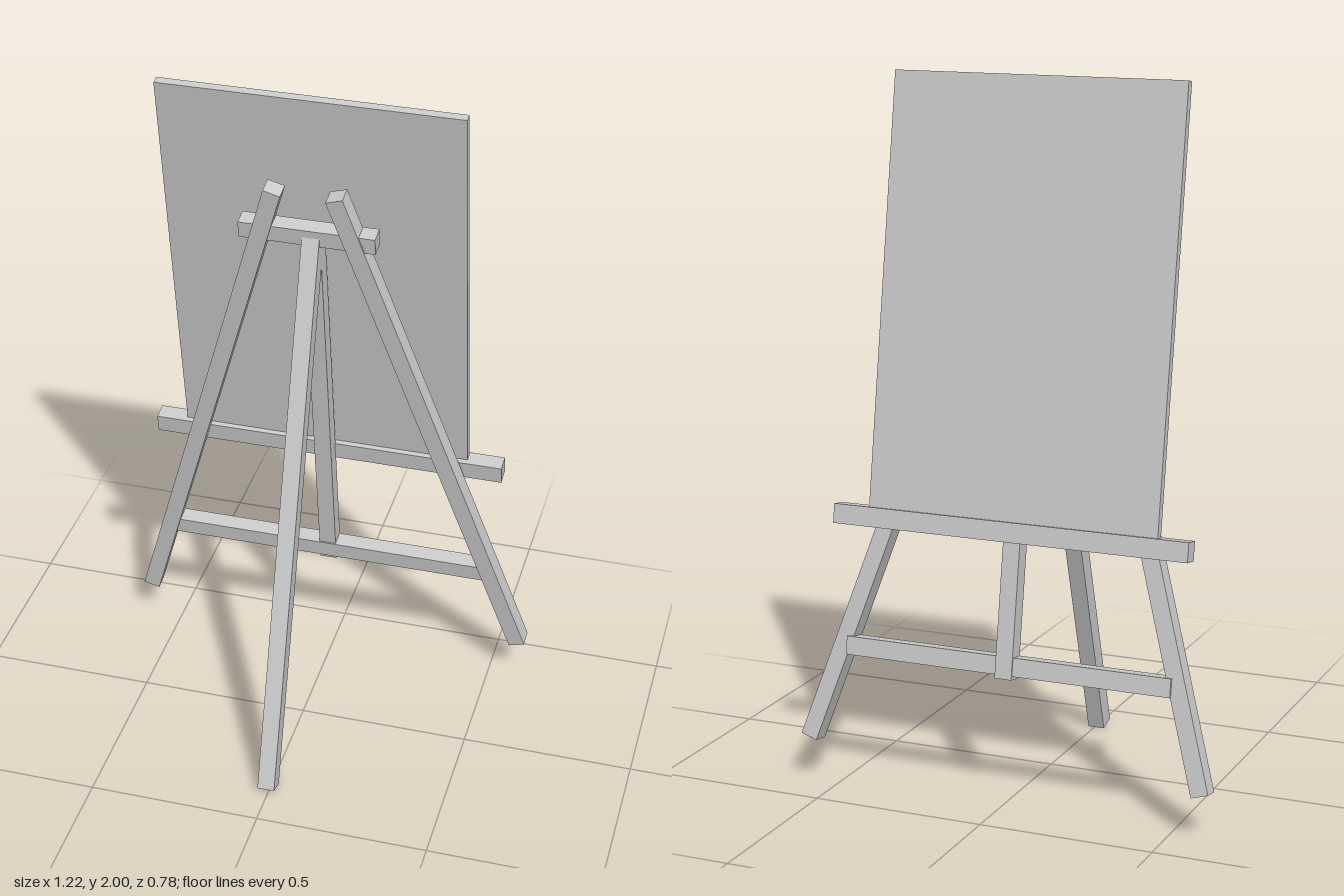
import * as THREE from 'three';

const material = new THREE.MeshStandardMaterial({ color: 0xcccccc, flatShading: true });

// Upright or level board: size and centre
function board(name, size, centre) {
  const mesh = new THREE.Mesh(new THREE.BoxGeometry(...size), material);
  mesh.position.set(...centre);
  mesh.name = name;
  return mesh;
}

// Square-cut batten running between two points of the local xy plane
function batten(name, [x0, y0], [x1, y1], width, depth) {
  const length = Math.hypot(x1 - x0, y1 - y0);
  const mesh = board(name, [width, length, depth], [(x0 + x1) / 2, (y0 + y1) / 2, 0]);
  mesh.rotation.z = -Math.atan2(x1 - x0, y1 - y0);
  return mesh;
}

export function createModel() {
  const easel = new THREE.Group();
  easel.name = 'easel';

  // Leaning frame, modelled upright and then tilted as a whole
  const frame = new THREE.Group();
  frame.name = 'leaningFrame';
  frame.position.z = -0.38;
  frame.rotation.x = 0.168;
  easel.add(frame);

  // Splayed pair of legs
  frame.add(batten('rightLeg', [-0.59, 0.125], [-0.107, 1.751], 0.05, 0.052));
  frame.add(batten('leftLeg', [0.585, 0.13], [0.067, 1.751], 0.05, 0.052));

  // Rails and the middle strut that joins them
  frame.add(board('topRail', [0.387, 0.05, 0.05], [-0.017, 1.61, -0.004]));
  frame.add(board('lowerRail', [0.97, 0.052, 0.05], [-0.005, 0.406, -0.008]));
  frame.add(board('middleStrut', [0.05, 1.23, 0.05], [-0.005, 0.985, -0.012]));

  // Ledge and the panel resting on it
  frame.add(board('ledge', [1.05, 0.055, 0.05], [-0.005, 0.78, -0.056]));
  frame.add(board('panel', [0.855, 1.216, 0.025], [-0.012, 1.408, -0.06]));

  // Single prop leg, swung out to the other side
  const prop = new THREE.Group();
  prop.name = 'propLeg';
  const dz = -0.486, dy = 1.588;
  prop.position.set(-0.005, 0.008, 0.366);
  prop.rotation.x = Math.atan2(dz, dy);
  prop.add(batten('propLegBatten', [0, 0], [0, Math.hypot(dz, dy)], 0.05, 0.052));
  easel.add(prop);

  return easel;
}
